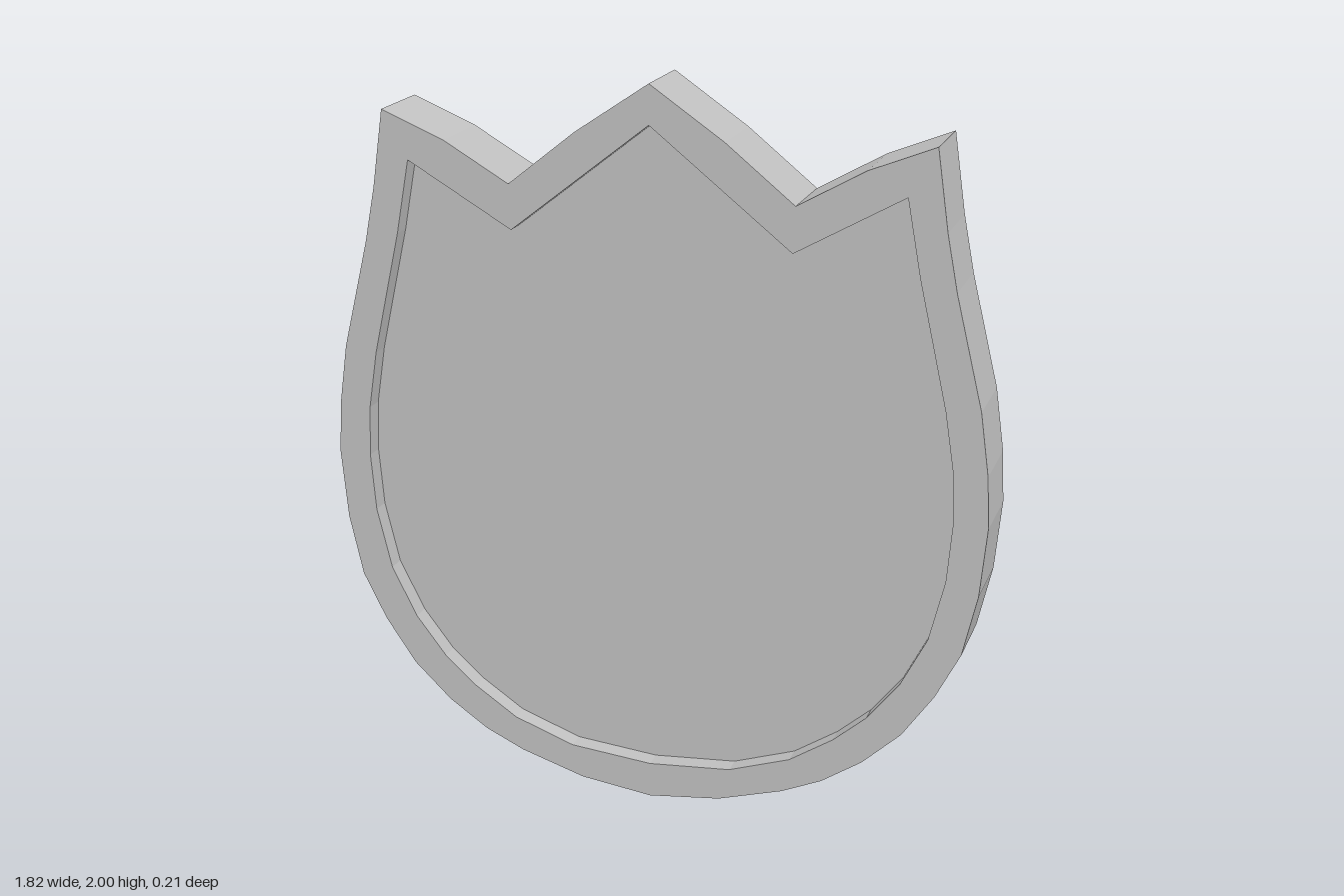
import * as THREE from 'three';

// Right half of each outline, from bottom centre up to the middle petal tip
const OUTER = [
  [0, 0], [0.2, 0.025], [0.38, 0.08], [0.49, 0.13], [0.6, 0.205], [0.705, 0.305],
  [0.79, 0.43], [0.855, 0.56], [0.892, 0.73], [0.908, 0.92], [0.9, 1.06], [0.875, 1.23],
  [0.835, 1.39], [0.8, 1.53], [0.77, 1.68], [0.738, 1.89], [0.565, 1.82], [0.385, 1.717],
  [0.2, 1.865], [0, 2],
];
const INNER = [
  [0, 0.1], [0.23, 0.12], [0.4, 0.18], [0.52, 0.26], [0.61, 0.34], [0.695, 0.45],
  [0.765, 0.59], [0.805, 0.76], [0.817, 0.92], [0.811, 1.06], [0.785, 1.22],
  [0.748, 1.38], [0.706, 1.56], [0.668, 1.76], [0.38, 1.595], [0, 1.895],
];
const THICK = 0.208;
const RECESS = 0.052;

// Mirrors a half outline into a full closed loop
function mirrored(half) {
  const left = half.slice(1, -1).reverse().map(([x, y]) => [-x, y]);
  return [...half, ...left].map(([x, y]) => new THREE.Vector2(x, y));
}

// Extrudes a shape, centred on z = 0
function slab(shape, depth, material, name) {
  const geometry = new THREE.ExtrudeGeometry(shape, { depth, bevelEnabled: false });
  geometry.translate(0, 0, -depth / 2);
  const mesh = new THREE.Mesh(geometry, material);
  mesh.name = name;
  return mesh;
}

export function createModel() {
  const group = new THREE.Group();
  group.name = 'tulipPlaque';
  const grey = new THREE.MeshStandardMaterial({ color: 0xc0c0c0 });
  grey.name = 'light grey';

  // Raised border around the tulip
  const rim = new THREE.Shape(mirrored(OUTER));
  rim.holes.push(new THREE.Path(mirrored(INNER)));
  group.add(slab(rim, THICK, grey, 'rim'));

  // Panel sunk below the border on both sides
  const panel = new THREE.Shape(mirrored(INNER));
  group.add(slab(panel, THICK - 2 * RECESS, grey, 'panel'));

  return group;
}
